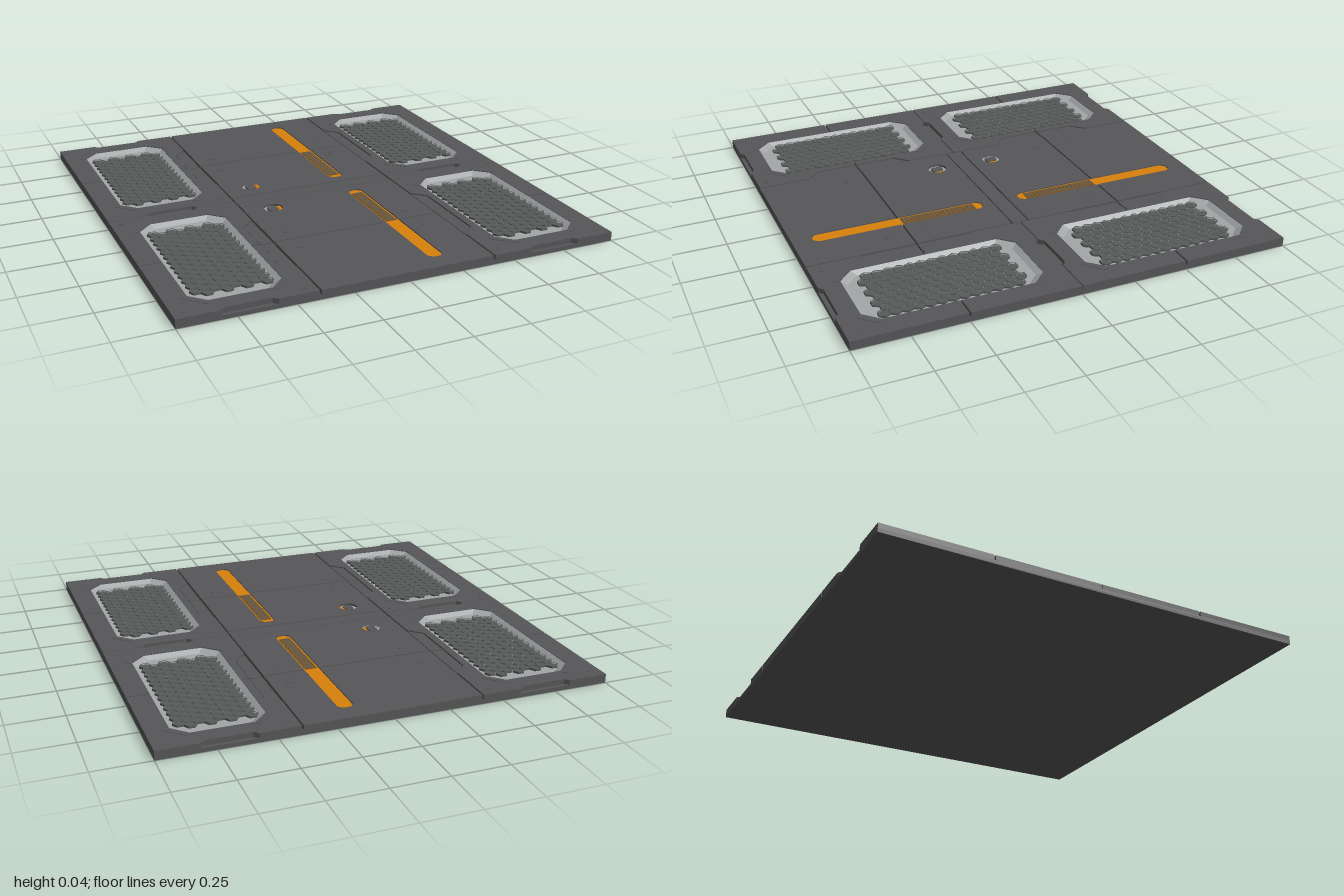
import * as THREE from 'three';
import { mergeGeometries } from 'three/addons/utils/BufferGeometryUtils.js';

const BASE = 0.018, TOP = 0.041;

const mat = (name, color) => {
  const m = new THREE.MeshStandardMaterial({ color });
  m.name = name;
  return m;
};

// Flat plate from (x, z) outlines, rising from y0 to y1
function plateGeo(points, y0, y1, holes = []) {
  const toV = ([x, z]) => new THREE.Vector2(x, -z);
  const shape = new THREE.Shape(points.map(toV));
  for (const h of holes) shape.holes.push(new THREE.Path(h.map(toV)));
  const g = new THREE.ExtrudeGeometry(shape, { depth: y1 - y0, bevelEnabled: false });
  return g.rotateX(-Math.PI / 2).translate(0, y0, 0);
}

function boxGeo(w, d, x, z, y0, y1, turn = 0) {
  return new THREE.BoxGeometry(w, y1 - y0, d).rotateY(turn).translate(x, (y0 + y1) / 2, z);
}

function discGeo(r, x, z, y0, y1, sides = 16) {
  return new THREE.CylinderGeometry(r, r, y1 - y0, sides).translate(x, (y0 + y1) / 2, z);
}

// Rectangle with cut corners, counter-clockwise from above
function octagon(a, b, c, x = 0, z = 0) {
  return [[a, b - c], [a, c - b], [a - c, -b], [c - a, -b], [-a, c - b], [-a, b - c], [c - a, b], [a - c, b]]
    .map(([u, v]) => [u + x, v + z]);
}

function ngon(r, n, x = 0, z = 0) {
  return Array.from({ length: n }, (_, i) => {
    const t = (i / n) * Math.PI * 2;
    return [x + r * Math.cos(t), z + r * Math.sin(t)];
  });
}

// Sloping band between two octagons
function bandGeo(outer, y0, inner, y1) {
  const pos = [];
  outer.forEach((o, i) => {
    const j = (i + 1) % outer.length, p = outer[j], a = inner[i], b = inner[j];
    pos.push(o[0], y0, o[1], p[0], y0, p[1], a[0], y1, a[1]);
    pos.push(p[0], y0, p[1], b[0], y1, b[1], a[0], y1, a[1]);
  });
  const g = new THREE.BufferGeometry();
  g.setAttribute('position', new THREE.Float32BufferAttribute(pos, 3));
  g.computeVertexNormals();
  return g;
}

// Honeycomb of shallow six-sided cells
function honeycombGeo() {
  const cells = [], pitch = 0.0425, rowH = 0.0495, r = 0.0278;
  for (let c = 0; c < 8; c++) {
    for (let k = 0; k < 13; k++) {
      const x = (c - 3.5) * pitch, z = (k - 6 + (c % 2 ? 0.25 : -0.25)) * rowH;
      cells.push(plateGeo(ngon(r, 6, x, z), 0.023, 0.032, [ngon(r * 0.72, 6, x, z)]));
      cells.push(plateGeo(ngon(r * 0.8, 6, x, z), 0.023, 0.028));
    }
  }
  return mergeGeometries(cells);
}

export function createModel() {
  const root = new THREE.Group();
  root.name = 'floorPanel';
  const dark = mat('dark grey', 0x565658);
  const light = mat('light grey', 0xa2a6a7);
  const orange = mat('orange', 0xd8800c);
  const brown = mat('dark amber', 0x80541a);
  const mesh = 0x585b5b;
  const grilleMat = mat('grille grey', mesh);
  const add = (name, geo, material) => {
    const m = new THREE.Mesh(geo, material);
    m.name = name;
    root.add(m);
  };

  add('baseSlab', boxGeo(2, 2, 0, 0, 0, BASE), dark);
  add('crossStrip', boxGeo(0.792, 0.072, 0, 0, BASE, TOP - 0.001), dark);

  const honeycomb = honeycombGeo();
  const ventEdge = octagon(0.2, 0.4, 0.065);
  const ventFloor = octagon(0.178, 0.375, 0.06);

  // Four corner quadrants, each with a vent
  for (const sx of [-1, 1]) for (const sz of [-1, 1]) {
    const flip = pts => pts.map(([u, v]) => [u * sx, v * sz]);
    const cx = 0.7 * sx, cz = 0.5 * sz;
    add('sidePlate', plateGeo(flip([
      [0.404, 0.002], [0.58, 0.002], [0.6, 0.022], [0.8, 0.022], [0.82, 0.002], [1, 0.002],
      [1, 0.496], [0.905, 0.496], [0.905, 0.504], [1, 0.504],
      [1, 1], [0.82, 1], [0.8, 0.982], [0.6, 0.982], [0.58, 1], [0.404, 1],
      [0.404, 0.76], [0.465, 0.7], [0.465, 0.504], [0.495, 0.504], [0.495, 0.496], [0.465, 0.496],
      [0.465, 0.3], [0.404, 0.24],
    ]), BASE, TOP, [octagon(0.2, 0.4, 0.065, cx, cz)]), dark);
    add('insetPlate', plateGeo(flip([[0.404, 0.246], [0.461, 0.302], [0.461, 0.496], [0.404, 0.496]]), BASE, 0.037), dark);
    add('insetPlate', plateGeo(flip([[0.404, 0.754], [0.461, 0.698], [0.461, 0.504], [0.404, 0.504]]), BASE, 0.037), dark);

    // Vent tray, grille and corner brackets
    const tray = mergeGeometries([
      bandGeo(ventEdge, 0.039, ventFloor, 0.023),
      plateGeo(ventFloor, BASE, 0.023).deleteAttribute('uv'),
    ]);
    add('ventTray', tray.translate(cx, 0, cz), light);
    add('ventGrille', honeycomb.clone().translate(cx, 0, cz), grilleMat);
    for (const a of [-1, 1]) for (const b of [-1, 1]) {
      add('ventBracket', boxGeo(0.12, 0.028, cx + a * 0.179, cz + b * 0.379, BASE, 0.0425, a * b * Math.PI / 4), dark);
      add('cornerScrew', discGeo(0.01, cx + a * 0.25, cz + b * 0.45, BASE, 0.0422, 12), dark);
    }
  }
  for (const sx of [-1, 1]) add('seamBlock', boxGeo(0.18, 0.034, sx * 0.7, 0, BASE, 0.03), dark);

  // Centre plates, with light strips, bolts and latches
  for (const s of [-1, 1]) {
    const flip = pts => pts.map(([x, z]) => [x, z * s]);
    add('outerCentrePlate', plateGeo(flip([
      [-0.396, 0.504], [0.14, 0.504], [0.14, 0.885], [0.157, 0.907], [0.193, 0.907], [0.21, 0.885],
      [0.21, 0.504], [0.396, 0.504], [0.396, 1], [-0.396, 1],
    ]), BASE, TOP), dark);
    add('innerCentrePlate', plateGeo(flip([
      [-0.396, 0.496], [0.14, 0.496], [0.14, 0.115], [0.157, 0.093], [0.193, 0.093], [0.21, 0.115],
      [0.21, 0.496], [0.396, 0.496], [0.396, 0.042], [-0.396, 0.042],
    ]), BASE, TOP, [ngon(0.046, 12, -0.26, 0.145 * s)]), dark);

    add('lightStrip', plateGeo(octagon(0.035, 0.407, 0.02, 0.175, 0.5 * s), BASE, 0.036), orange);
    add('stripCover', boxGeo(0.054, 0.36, 0.175, 0.31 * s, BASE, 0.038), brown);
    const bars = [];
    for (let i = 0; i < 18; i++) bars.push(boxGeo(0.046, 0.008, 0.175, (0.14 + i * 0.02) * s, BASE, 0.0395));
    add('stripBars', mergeGeometries(bars), grilleMat);

    for (const x of [-0.3, 0.3]) for (const z of [0.415, 0.585])
      add('plateBolt', discGeo(0.025, x, z * s, BASE, 0.0422, 20), dark);

    add('latchCup', discGeo(0.046, -0.26, 0.145 * s, BASE, 0.03, 12), light);
    add('latchCore', plateGeo(octagon(0.022, 0.028, 0.01, -0.262, 0.145 * s), BASE, 0.037), dark);
    add('latchMarker', boxGeo(0.016, 0.04, -0.228, 0.145 * s, BASE, 0.036), orange);
  }
  return root;
}
